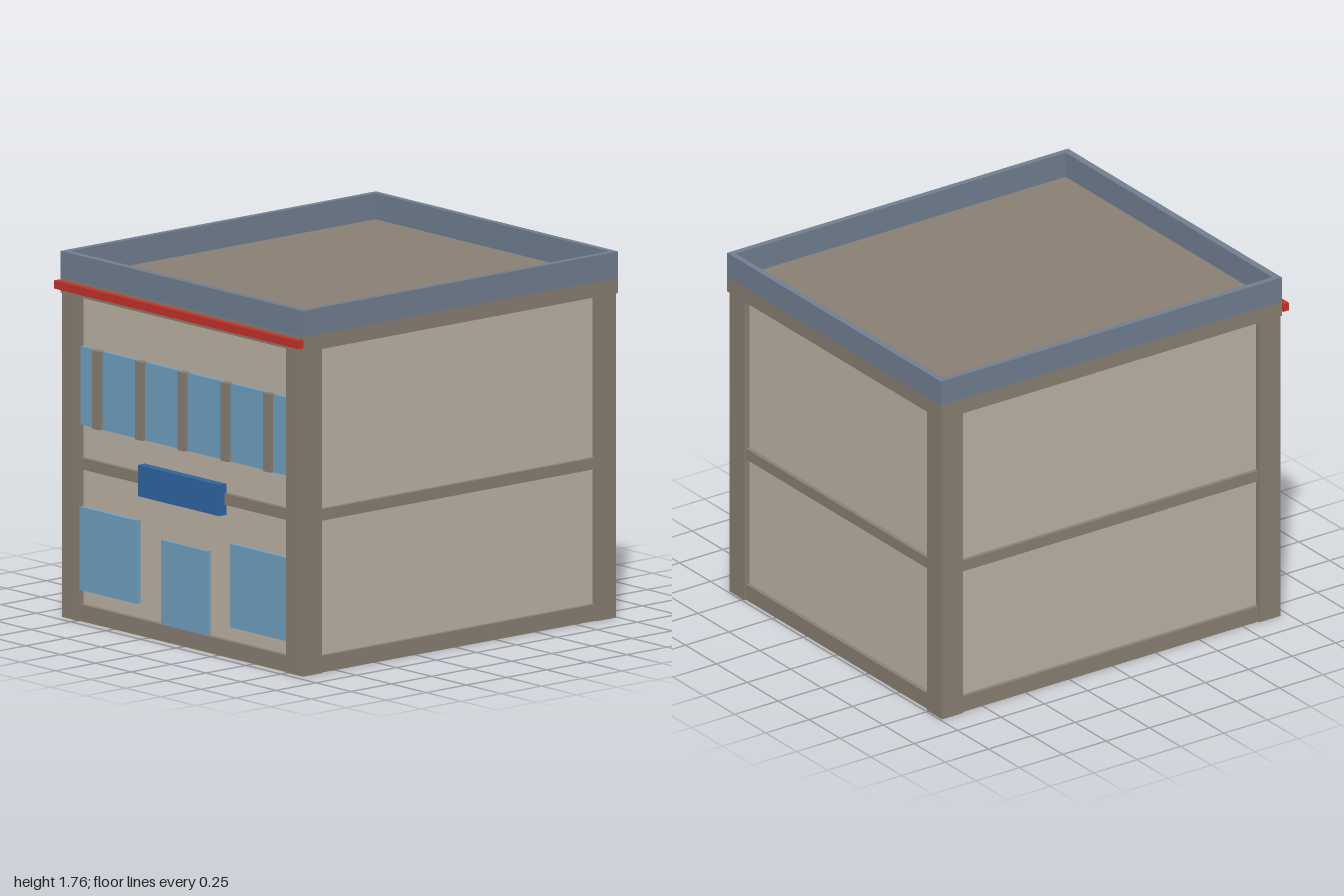
import * as THREE from 'three';

const paint = (color) => new THREE.MeshStandardMaterial({ color });

export function createModel() {
  const model = new THREE.Group();
  const brown = paint(0x8b8074), tan = paint(0xbfb5a6), glass = paint(0x72a2c2);
  const slate = paint(0x728092), red = paint(0xc4342b), blue = paint(0x2f66a3);

  // Box given by its extents on each axis
  function box(name, material, [x0, x1], [y0, y1], [z0, z1]) {
    const mesh = new THREE.Mesh(new THREE.BoxGeometry(x1 - x0, y1 - y0, z1 - z0), material);
    mesh.position.set((x0 + x1) / 2, (y0 + y1) / 2, (z0 + z1) / 2);
    mesh.name = name;
    model.add(mesh);
    return mesh;
  }

  // Walls, with base and floor bands standing slightly proud of them
  box('walls', tan, [-0.83, 0.83], [0.01, 1.57], [-0.96, 0.93]);
  box('base', brown, [-0.85, 0.85], [0, 0.08], [-0.98, 0.952]);
  box('floorBand', brown, [-0.85, 0.85], [0.73, 0.785], [-0.98, 0.95]);

  // Corner posts
  for (const x of [-0.8, 0.8]) {
    for (const z of [-0.93, 0.9]) {
      box('cornerPost', brown, [x - 0.06, x + 0.06], [0, 1.57], [z - 0.06, z + 0.06]);
    }
  }

  // Roof slab and the parapet around it
  box('roofSlab', brown, [-0.865, 0.865], [1.56, 1.635], [-1, 0.965]);
  const outline = (x, z0, z1) => [[-x, -z1], [x, -z1], [x, -z0], [-x, -z0]]
    .map(([a, b]) => new THREE.Vector2(a, b));
  const ring = new THREE.Shape(outline(0.865, -1, 0.965));
  ring.holes.push(new THREE.Path(outline(0.835, -0.97, 0.93)));
  const parapet = new THREE.Mesh(
    new THREE.ExtrudeGeometry(ring, { depth: 0.125, bevelEnabled: false }), slate);
  parapet.rotation.x = -Math.PI / 2;
  parapet.position.y = 1.635;
  parapet.name = 'parapet';
  model.add(parapet);

  // Front trim and sign panel
  box('frontTrim', red, [-0.873, 0.873], [1.583, 1.622], [0.968, 1]);
  box('signPanel', blue, [-0.29, 0.29], [0.68, 0.83], [0.94, 0.985]);

  // Ground floor windows and door
  box('rightShopWindow', glass, [-0.76, -0.335], [0.15, 0.55], [0.92, 0.955]);
  box('leftShopWindow', glass, [0.335, 0.76], [0.15, 0.55], [0.92, 0.955]);
  box('door', glass, [-0.165, 0.165], [0.07, 0.485], [0.92, 0.95]);

  // Upper window strip with its mullions
  box('upperWindow', glass, [-0.76, 0.76], [0.945, 1.32], [0.92, 0.95]);
  for (let i = -2; i <= 2; i++) {
    const x = i * 0.305;
    box('mullion', brown, [x - 0.026, x + 0.026], [0.944, 1.321], [0.92, 0.968]);
  }

  return model;
}
